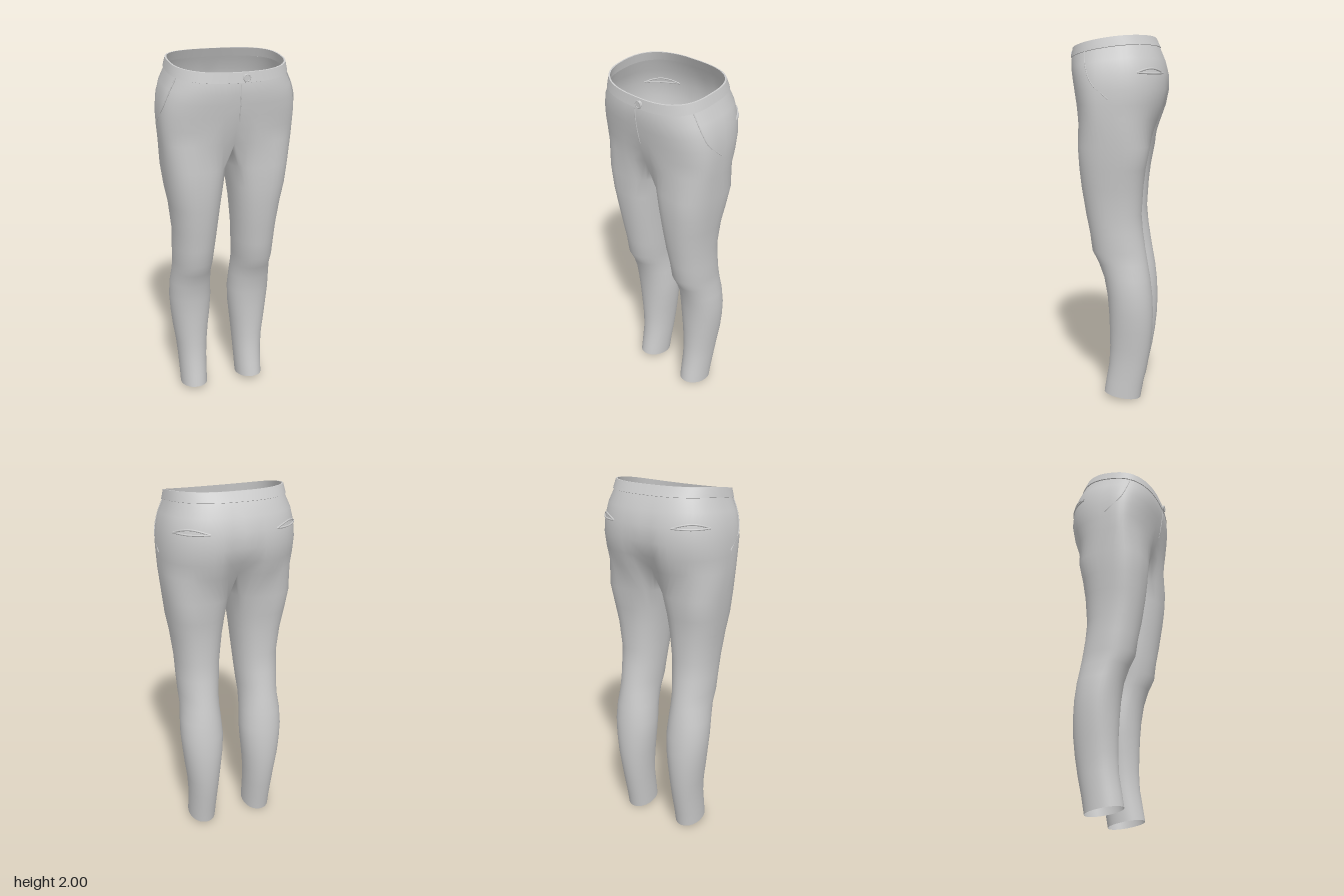
import * as THREE from 'three';
import { mergeGeometries, mergeVertices, toCreasedNormals } from 'three/addons/utils/BufferGeometryUtils.js';

const material = new THREE.MeshStandardMaterial({ color: 0xcccccc, side: THREE.DoubleSide });
const OUTER = 28; // segments from centre front round the hip to centre back
const INNER = 10; // segments across the inseam
const lerp = THREE.MathUtils.lerp;

// Hip sections: height, half width, front z, back z, waist tilt, front crease, back crease
const HIPS = [
  [1.987, 0.307, 0.25, -0.192, 1, 0, 0],
  [1.93, 0.318, 0.258, -0.218, 1, 0, 0],
  [1.87, 0.345, 0.258, -0.245, 0.8, 0, 0],
  [1.8, 0.362, 0.25, -0.264, 0.5, 0, 0],
  [1.72, 0.37, 0.239, -0.268, 0.2, 0, 0.008],
  [1.64, 0.367, 0.228, -0.252, 0, 0.01, 0.025],
  [1.56, 0.362, 0.22, -0.226, 0, 0.03, 0.06],
];

// Leg sections: height, inner x, outer x, front z, back z, hem tilt
const LEGS = [
  [1.42, 0.008, 0.348, 0.207, -0.18, 0],
  [1.3, 0.025, 0.334, 0.2, -0.157, 0],
  [1.2, 0.038, 0.315, 0.19, -0.145, 0],
  [1.05, 0.052, 0.298, 0.167, -0.136, 0],
  [0.95, 0.058, 0.297, 0.147, -0.145, 0],
  [0.85, 0.068, 0.292, 0.134, -0.16, 0],
  [0.78, 0.071, 0.291, 0.098, -0.172, 0],
  [0.7, 0.067, 0.3, 0.068, -0.186, 0],
  [0.6, 0.06, 0.304, 0.05, -0.198, 0],
  [0.5, 0.065, 0.296, 0.042, -0.203, 0],
  [0.4, 0.076, 0.285, 0.038, -0.2, 0],
  [0.3, 0.086, 0.27, 0.037, -0.19, 0],
  [0.2, 0.093, 0.261, 0.042, -0.173, 0.03],
  [0.1, 0.097, 0.257, 0.058, -0.15, 0.09],
  [0.02, 0.1, 0.255, 0.07, -0.135, 0.15],
];

const power = (v, n) => Math.sign(v) * Math.abs(v) ** (2 / n);

// Point on the hip surface: u runs 0 at centre front to 1 at centre back on the +x side
function hipPoint(u, height, offset = 0) {
  let i = 0;
  while (i < HIPS.length - 2 && height < HIPS[i + 1][0]) i++;
  const t = (HIPS[i][0] - height) / (HIPS[i][0] - HIPS[i + 1][0]);
  const [, w, front, back, tilt, creaseF, creaseB] = HIPS[i].map((v, k) => lerp(v, HIPS[i + 1][k], t));
  const c = power(Math.cos(Math.PI * u), 2.6), s = power(Math.sin(Math.PI * u), 2.6);
  const zc = 0.05, grow = 1 + offset / 0.28;
  const x = u === 0 || u === 1 ? 0 : w * s * grow;
  let z = zc + c * (c > 0 ? front - zc : zc - back) * grow;
  z -= (c > 0 ? creaseF : -creaseB) * Math.exp(-((x / 0.07) ** 2));
  return new THREE.Vector3(x, height - tilt * (0.12 * z + 0.3 * z * z), z);
}

// Closed leg ring whose first OUTER + 1 points continue the hip section
function legRing([y, xi, xo, front, back, tilt], round) {
  const n = lerp(2.6, 2.1, round), ring = [];
  const start = -0.28 * Math.PI, end = 1.28 * Math.PI;
  for (let j = 0; j <= OUTER + INNER; j++) {
    const a = j <= OUTER ? lerp(start, end, j / OUTER) : lerp(end, 2 * Math.PI + start, (j - OUTER) / INNER);
    const x = (xi + xo) / 2 + power(Math.sin(a), n) * (xo - xi) / 2;
    const z = (front + back) / 2 + power(Math.cos(a), n) * (front - back) / 2;
    ring.push(new THREE.Vector3(x, y + tilt * z, z));
  }
  return ring;
}

// Skin between successive rows of points, optionally mirrored in x
function loft(rows, mirror = false) {
  const cols = rows[0].length, index = [];
  const positions = rows.flat().flatMap((p) => [mirror ? -p.x : p.x, p.y, p.z]);
  for (let i = 0; i < rows.length - 1; i++) {
    for (let j = 0; j < cols - 1; j++) {
      const a = i * cols + j, b = a + 1, c = a + cols, d = c + 1;
      if (mirror) index.push(a, d, c, a, b, d);
      else index.push(a, c, d, a, d, b);
    }
  }
  const g = new THREE.BufferGeometry();
  g.setAttribute('position', new THREE.Float32BufferAttribute(positions, 3));
  g.setIndex(index);
  return g;
}

function weldHalves(rowSets) {
  const parts = rowSets.flatMap((rows) => [loft(rows), loft(rows, true)]);
  const g = mergeVertices(mergeGeometries(parts), 1e-5);
  g.computeVertexNormals();
  return g;
}

const halfSection = (height, offset) =>
  Array.from({ length: OUTER + 1 }, (_, j) => hipPoint(j / OUTER, height, offset));

function add(parent, name, geometry) {
  const mesh = new THREE.Mesh(geometry, material);
  mesh.name = name;
  parent.add(mesh);
  return mesh;
}

// Thin stitched line lying on the hip surface
function seam(parent, name, spots, radius, side) {
  const points = spots.map(([u, h]) => {
    const p = hipPoint(u, h, 0.001);
    p.x *= side;
    return p;
  });
  add(parent, name, new THREE.TubeGeometry(new THREE.CatmullRomCurve3(points), 24, radius, 6));
}

export function createModel() {
  const model = new THREE.Group();
  model.name = 'trousers';

  // Hips and legs, joined by a saddle at the crotch
  const hipRows = HIPS.map((row) => halfSection(row[0]));
  const top = [...hipRows[hipRows.length - 1]];
  const front = top[0], back = top[OUTER];
  for (let k = 1; k < INNER; k++) {
    const s = k / INNER, dip = 0.09 * Math.sin(Math.PI * s) ** 0.6;
    top.push(new THREE.Vector3(0, front.y - dip, lerp(back.z, front.z, s)));
  }
  top.push(front.clone());
  const legRows = [top, ...LEGS.map((row, i) => legRing(row, Math.min(1, i / 4)))];
  add(model, 'hipsAndLegs', weldHalves([hipRows, legRows]));

  // Waistband with a folded top edge
  const band = [[1.94, -0.005], [1.987, -0.004], [1.987, 0.004], [1.938, 0.005], [1.936, 0]];
  const bandRows = band.map(([h, o]) => halfSection(h, o));
  add(model, 'waistband', toCreasedNormals(weldHalves([bandRows]), 0.7));

  // Front and back pockets
  for (const side of [1, -1]) {
    seam(model, 'frontPocketSeam', [[0.37, 1.94], [0.385, 1.86], [0.43, 1.76], [0.515, 1.67]], 0.003, side);
    for (const [rise, bow] of [[0.008, 0.012], [-0.008, 0.004]]) {
      const spots = [0, 0.25, 0.5, 0.75, 1].map((t) =>
        [lerp(0.65, 0.87, t), 1.8 + rise * Math.sin(Math.PI * t) + bow * Math.sin(Math.PI * t)]);
      seam(model, 'backPocketWelt', spots, 0.005, side);
    }
  }

  // Fly and button
  seam(model, 'flySeam', [[0.003, 1.93], [0.003, 1.85], [0.003, 1.76], [0.004, 1.69]], 0.003, 1);
  const button = new THREE.Group();
  button.name = 'button';
  const disc = add(button, 'buttonDisc', new THREE.CylinderGeometry(0.017, 0.019, 0.012, 16));
  disc.rotation.x = Math.PI / 2;
  add(button, 'buttonRim', new THREE.TorusGeometry(0.017, 0.004, 6, 20)).position.z = 0.004;
  button.position.set(0.038, 1.91, 0.26);
  model.add(button);

  return model;
}
